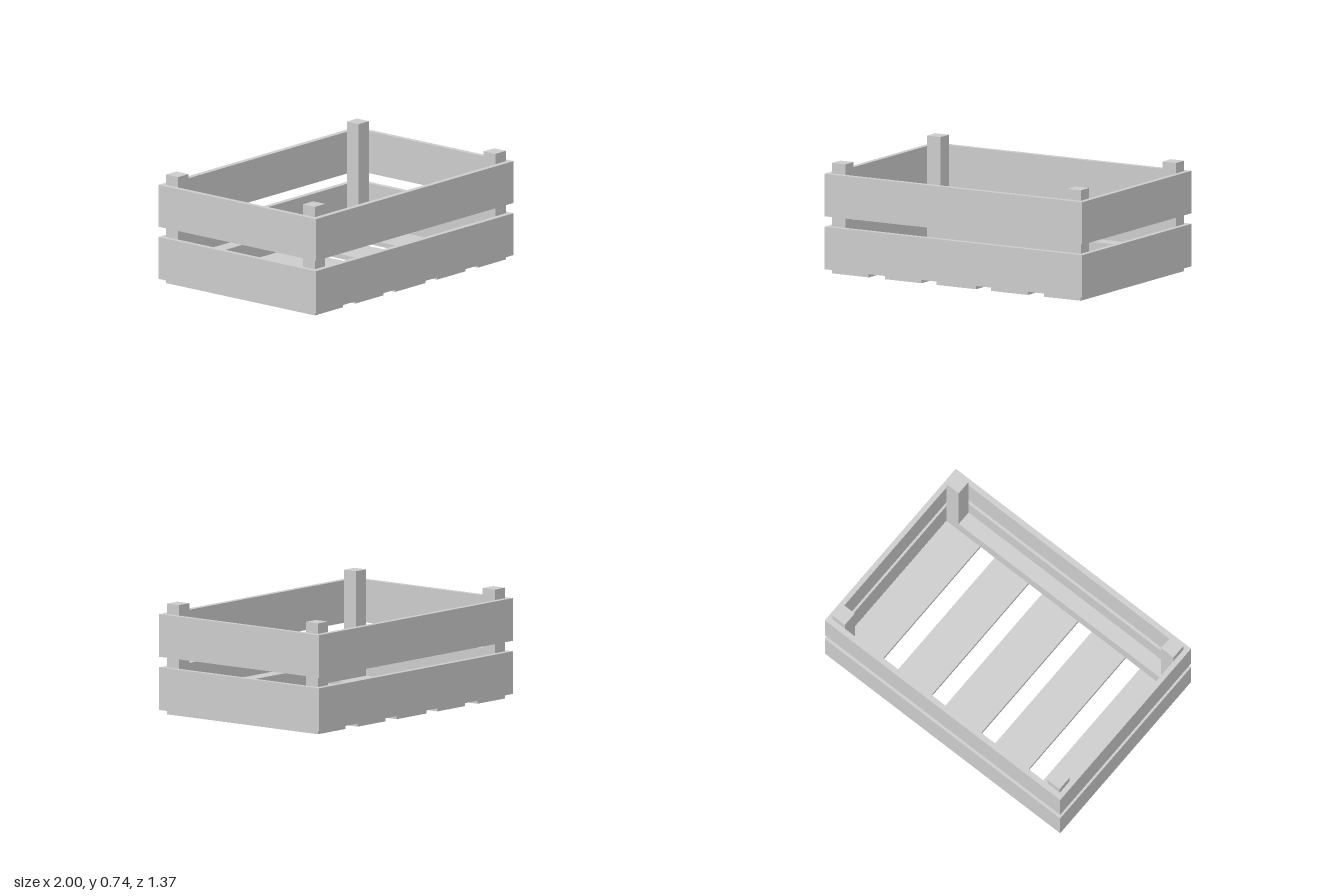
import * as THREE from 'three';

export function createModel() {
  const crate = new THREE.Group();
  crate.name = 'slattedCrate';
  const material = new THREE.MeshStandardMaterial({ color: 0xcccccc, flatShading: true });

  // Box given by its min and max corner on each axis
  function board(name, [x0, x1], [y0, y1], [z0, z1]) {
    const mesh = new THREE.Mesh(new THREE.BoxGeometry(x1 - x0, y1 - y0, z1 - z0), material);
    mesh.position.set((x0 + x1) / 2, (y0 + y1) / 2, (z0 + z1) / 2);
    mesh.name = name;
    crate.add(mesh);
  }
  // Range on the positive side, or its mirror image
  const side = (s, a, b) => (s > 0 ? [a, b] : [-b, -a]);

  const X = 1, Z = 0.685;        // outer half sizes
  const IX = 0.965, IZ = 0.647;  // inner faces of the walls
  const PX = 0.86, PZ = 0.543;   // inner faces of the posts
  const floorTop = 0.03, railTop = 0.15, postTop = 0.74;

  // Floor slats
  for (const [c, w] of [[-0.822, 0.285], [-0.412, 0.285], [0, 0.305], [0.412, 0.285], [0.822, 0.285]]) {
    board('floorSlat', [c - w / 2, c + w / 2], [0, floorTop], [-IZ, IZ]);
  }

  // Two tiers of wall planks
  for (const y of [[0.03, 0.315], [0.385, 0.67]]) {
    for (const s of [1, -1]) {
      board(s > 0 ? 'frontPlank' : 'backPlank', [-X, X], y, side(s, IZ, Z));
      board(s > 0 ? 'leftPlank' : 'rightPlank', side(s, IX, X), y, [-IZ, IZ]);
    }
  }

  // Corner posts, with a floor rail between each front and back pair
  for (const sz of [1, -1]) {
    for (const sx of [1, -1]) {
      board('cornerPost', side(sx, PX, IX), [floorTop, postTop], side(sz, PZ, IZ));
    }
    board('floorRail', [-PX, PX], [floorTop, railTop], side(sz, PZ, IZ));
  }

  return crate;
}
